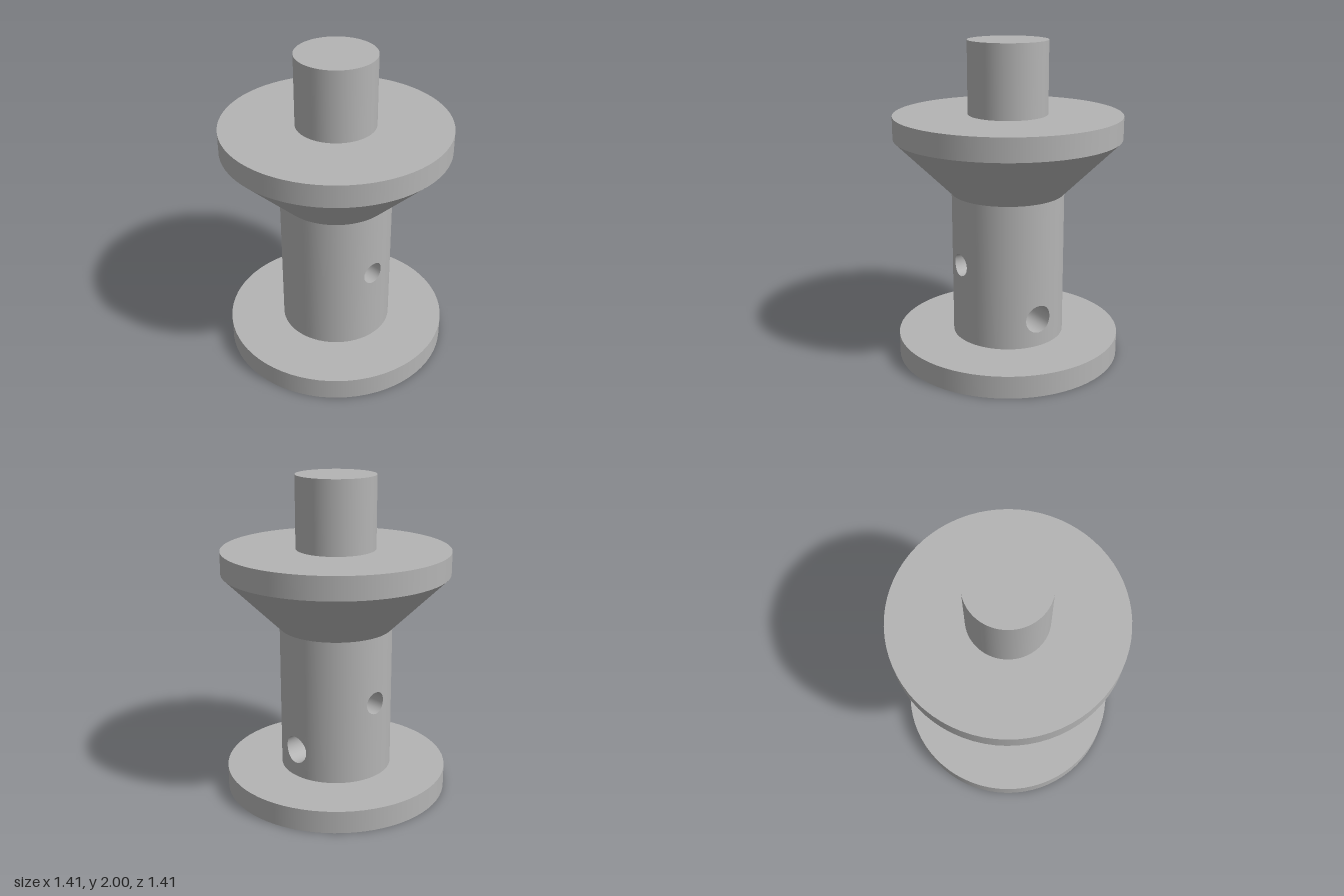
import * as THREE from 'three';
import { mergeGeometries } from 'three/addons/utils/BufferGeometryUtils.js';

const RAD = Math.PI / 180;
const FLANGE = 0.706, BODY = 0.353, STEM = 0.247;      // radii
const BORE = 0.141, FLAT = 0.106, BORE_TOP = 0.5;      // D-shaped shaft socket
const SCREW = { y: 0.318, r: 0.088 }, CROSS = { y: 0.636, r: 0.071 };
const PATCH = { angle: 20 * RAD, half: 0.12 };         // wall piece around a hole

// Turned surface with a sharp edge at every profile point
function turned(profile, startDeg = 0, lengthDeg = 360) {
  const pts = profile.map(([r, y]) => new THREE.Vector2(r, y));
  const segments = Math.round(lengthDeg / 5);
  return mergeGeometries(pts.slice(1).map((p, i) =>
    new THREE.LatheGeometry([pts[i], p], segments, startDeg * RAD, lengthDeg * RAD)));
}

// Grid surface from a point function
function sheet(nu, nv, point) {
  const pos = [], index = [];
  for (let i = 0; i <= nu; i++) for (let j = 0; j <= nv; j++) pos.push(...point(i, j / nv));
  for (let i = 0; i < nu; i++) for (let j = 0; j < nv; j++) {
    const a = i * (nv + 1) + j, d = a + nv + 1;
    index.push(a, a + 1, d + 1, a, d + 1, d);
  }
  const g = new THREE.BufferGeometry();
  g.setAttribute('position', new THREE.Float32BufferAttribute(pos, 3));
  g.setIndex(index);
  g.computeVertexNormals();
  return g;
}

// Point k of 32 around a square, counter-clockwise
function squarePoint(k) {
  const side = Math.floor(k / 8) % 4, t = (k % 8) / 4 - 1;
  return [[t, -1], [1, t], [-t, 1], [-1, -t]][side];
}

// Curved wall from a round hole out to its square patch border
function holePatch({ y, r }) {
  const g = sheet(32, 4, (k, t) => {
    const [a, b] = squarePoint(k), ang = Math.atan2(b, a);
    const theta = THREE.MathUtils.lerp(Math.asin(r * Math.cos(ang) / BODY), a * PATCH.angle, t);
    const h = THREE.MathUtils.lerp(r * Math.sin(ang), b * PATCH.half, t);
    return [BODY * Math.sin(theta), y + h, BODY * Math.cos(theta)];
  });
  const p = g.attributes.position, n = g.attributes.normal;
  for (let i = 0; i < p.count; i++) n.setXYZ(i, p.getX(i) / BODY, 0, p.getZ(i) / BODY);
  return g;
}

// Inside of a drilled hole, from the body surface in to a given depth
function holeTube({ y, r }, end) {
  return sheet(32, 1, (k, t) => {
    const [a, b] = squarePoint(k), ang = Math.atan2(b, a), x = r * Math.cos(ang);
    return [x, y + r * Math.sin(ang), t ? end : Math.sqrt(BODY * BODY - x * x)];
  });
}

// D outline of the socket
function dOutline(path) {
  const h = Math.acos(FLAT / BORE);
  path.absarc(0, 0, BORE, -Math.PI / 2 + h, Math.PI * 1.5 - h, false);
  path.closePath();
  return path;
}

export function createModel() {
  const model = new THREE.Group();
  model.name = 'spool';
  const grey = new THREE.MeshStandardMaterial({ color: 0xb4b4b4, side: THREE.DoubleSide });
  grey.name = 'grey';
  const add = (name, geometry, parent = model) => {
    const mesh = new THREE.Mesh(geometry, grey);
    mesh.name = name;
    parent.add(mesh);
    return mesh;
  };

  // Outer turned parts
  add('baseFlange', turned([[FLANGE, 0], [FLANGE, 0.141], [BODY, 0.141]]));
  add('upperCone', turned([[BODY, 1.06], [FLANGE, 1.41]]));
  add('upperFlange', turned([[FLANGE, 1.41], [FLANGE, 1.551], [STEM, 1.551]]));
  add('topStem', turned([[STEM, 1.551], [STEM, 2], [0, 2]]));

  // Body wall in bands, leaving gaps for the drilled patches
  const s0 = SCREW.y - PATCH.half, s1 = SCREW.y + PATCH.half;
  const c0 = CROSS.y - PATCH.half, c1 = CROSS.y + PATCH.half;
  const bands = [
    [0.141, s0, 0, 360], [s0, s1, 200, 320], [s1, c0, 0, 360],
    [c0, c1, 110, 140], [c0, c1, 290, 140], [c1, 1.06, 0, 360],
  ];
  add('bodyWall', mergeGeometries(bands.map(([a, b, start, len]) =>
    turned([[BODY, a], [BODY, b]], start, len))));

  // Cross hole through both sides and screw hole at the back
  const drill = (name, hole, end, turn) => {
    const group = new THREE.Group();
    group.name = name;
    group.rotation.y = turn;
    add(name + 'Wall', holePatch(hole), group);
    add(name + 'Inside', holeTube(hole, end), group);
    model.add(group);
  };
  drill('leftCrossHole', CROSS, 0, Math.PI / 2);
  drill('rightCrossHole', CROSS, 0, -Math.PI / 2);
  drill('screwHole', SCREW, FLAT, Math.PI);

  // Underside with the D-shaped socket
  const disc = new THREE.Shape().absarc(0, 0, FLANGE, 0, Math.PI * 2, false);
  disc.holes.push(dOutline(new THREE.Path()));
  add('underside', new THREE.ShapeGeometry(disc, 36).rotateX(Math.PI / 2));
  add('socketEnd', new THREE.ShapeGeometry(dOutline(new THREE.Shape()), 36)
    .rotateX(Math.PI / 2).translate(0, BORE_TOP, 0));
  const h = Math.acos(FLAT / BORE) / RAD;
  add('socketWall', turned([[BORE, 0], [BORE, BORE_TOP]], 180 + h, 360 - 2 * h));

  // Flat side of the socket, pierced by the screw hole
  const w = Math.sqrt(BORE * BORE - FLAT * FLAT);
  const flat = new THREE.Shape([[-w, 0], [w, 0], [w, BORE_TOP], [-w, BORE_TOP]]
    .map(([x, y]) => new THREE.Vector2(x, y)));
  flat.holes.push(new THREE.Path().absarc(0, SCREW.y, SCREW.r, 0, Math.PI * 2, true));
  add('socketFlat', new THREE.ShapeGeometry(flat, 16).translate(0, 0, -FLAT));

  return model;
}
